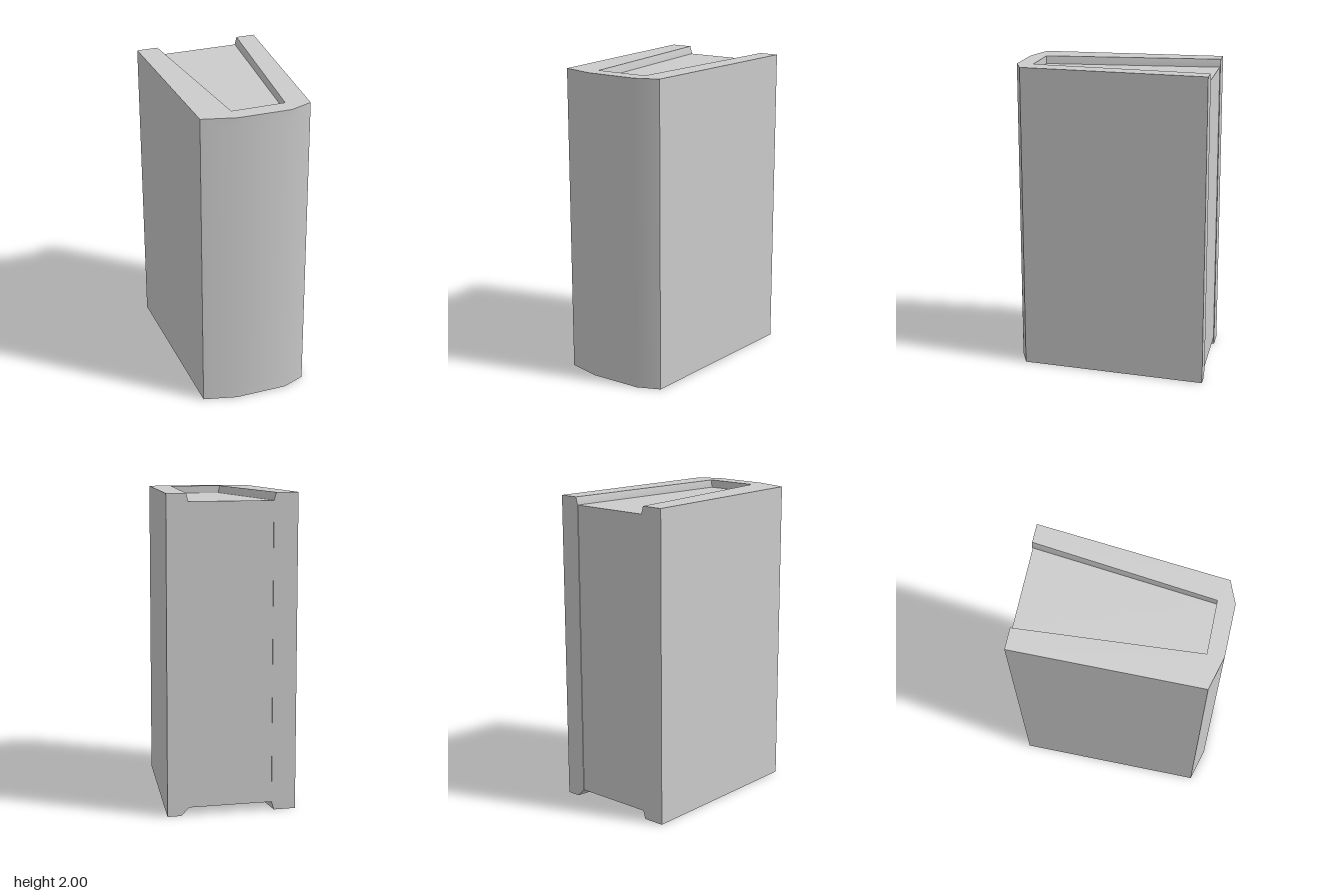
import * as THREE from 'three';
import { toCreasedNormals } from 'three/addons/utils/BufferGeometryUtils.js';

// Closed solid through stacked outlines; each level is { y, pts: [[x, z], ...] },
// counter-clockwise when seen from above.
function loft(levels) {
  const pos = [];
  const put = (level, i) => pos.push(level.pts[i][0], level.y, level.pts[i][1]);
  const n = levels[0].pts.length;
  for (let k = 0; k < levels.length - 1; k++) {
    const a = levels[k], b = levels[k + 1];
    for (let i = 0; i < n; i++) {
      const j = (i + 1) % n;
      put(a, i); put(a, j); put(b, j);
      put(a, i); put(b, j); put(b, i);
    }
  }
  const cap = (level, flip) => {
    const flat = level.pts.map(([x, z]) => new THREE.Vector2(x, -z));
    for (const f of THREE.ShapeUtils.triangulateShape(flat, [])) {
      (flip ? [f[0], f[2], f[1]] : f).forEach((i) => put(level, i));
    }
  };
  cap(levels[0], true);
  cap(levels[levels.length - 1], false);
  const geo = new THREE.BufferGeometry();
  geo.setAttribute('position', new THREE.Float32BufferAttribute(pos, 3));
  return toCreasedNormals(geo, 0.4);
}

export function createModel() {
  const group = new THREE.Group();
  group.name = 'book';
  const material = new THREE.MeshStandardMaterial({ color: 0xcccccc });
  const add = (name, geometry) => {
    const mesh = new THREE.Mesh(geometry, material);
    mesh.name = name;
    group.add(mesh);
  };

  const back = -0.635;
  const recess = 0.05;

  // Outside of the cover: straight board, bevelled spine, slanted board
  const outer = [
    [-0.415, back], [-0.415, 0.57], [-0.2, 0.628],
    [0.14, 0.632], [0.286, 0.575], [0.412, back],
  ];
  // Inside edge of the cover, from the right board round to the left board
  const inner = (xr, xrFront, xlFront, xl) => [
    [xr, back], [xrFront, 0.522], [xlFront, 0.522], [xl, back],
  ];
  const topRim = inner(0.288, 0.143, -0.202, -0.275);
  const pageLine = inner(0.275, 0.14, -0.192, -0.26);
  const bottomRim = inner(0.325, 0.15, -0.195, -0.275);
  const level = (y, rim) => ({ y, pts: [...outer, ...rim] });

  // Cover, its inner walls sloping in towards the page block
  add('cover', loft([
    level(0, bottomRim),
    level(recess, pageLine),
    level(2 - recess, pageLine),
    level(2, topRim),
  ]));

  // Page block, sunk below the cover at the top, bottom and open edge
  const pages = [
    [-0.262, back + 0.004], [-0.194, 0.524], [0.142, 0.524], [0.277, back + 0.004],
  ];
  add('pages', loft([{ y: recess, pts: pages }, { y: 2 - recess, pts: pages }]));

  return group;
}
